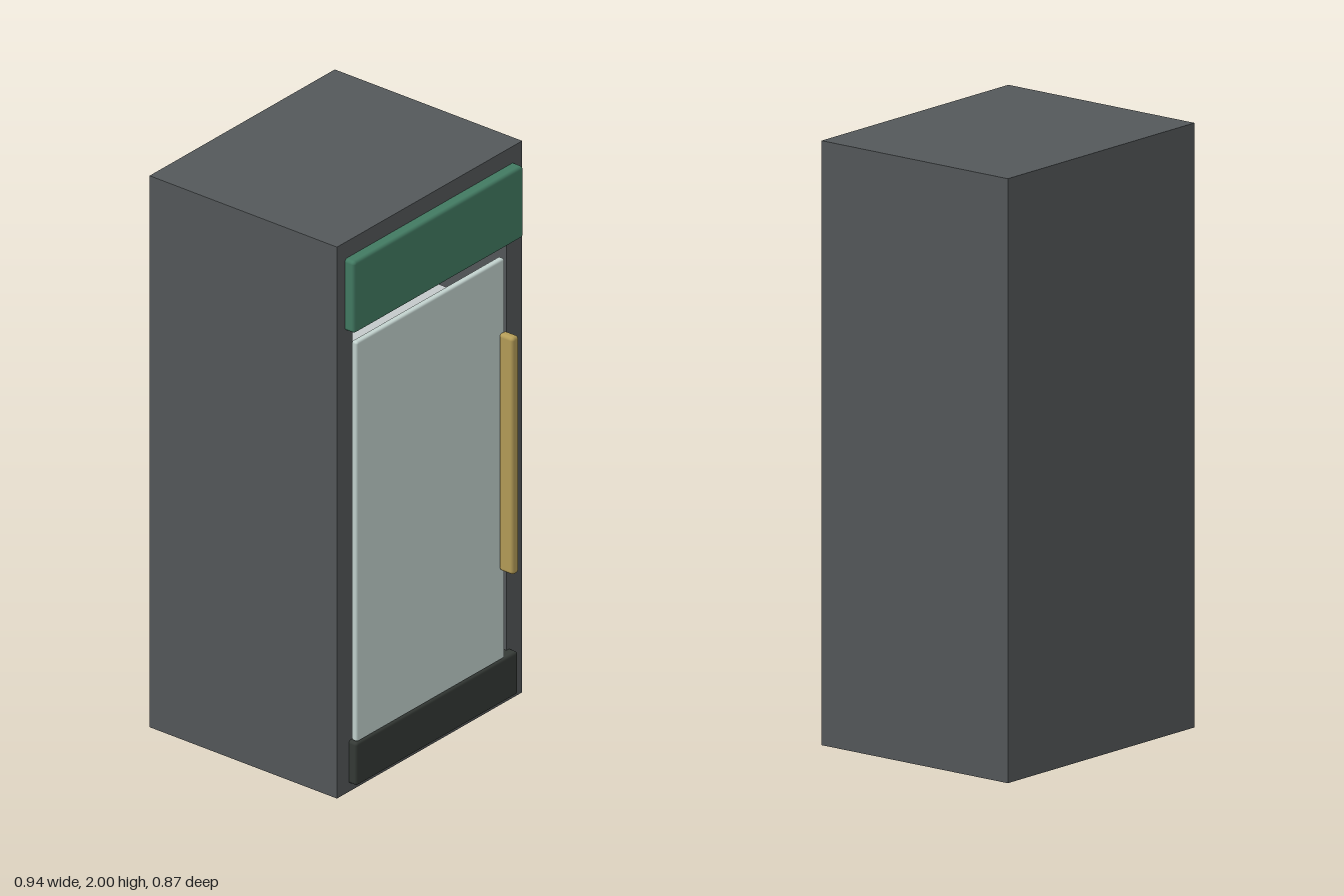
import * as THREE from 'three';
import { RoundedBoxGeometry } from 'three/addons/geometries/RoundedBoxGeometry.js';

const material = (color) => new THREE.MeshStandardMaterial({ color });

// Rounded block given by its limits on each axis
function block(name, [x0, x1], [y0, y1], [z0, z1], radius, mat) {
  const geometry = new RoundedBoxGeometry(x1 - x0, y1 - y0, z1 - z0, 3, radius);
  const mesh = new THREE.Mesh(geometry, mat);
  mesh.position.set((x0 + x1) / 2, (y0 + y1) / 2, (z0 + z1) / 2);
  mesh.name = name;
  return mesh;
}

function rectangle(Type, x0, x1, y0, y1) {
  return new Type([[x0, y0], [x1, y0], [x1, y1], [x0, y1]].map(([x, y]) => new THREE.Vector2(x, y)));
}

export function createModel() {
  const model = new THREE.Group();
  model.name = 'displayFridge';
  const bodyMat = material(0x54585a);
  const shelfMat = material(0xc4c9ca);

  // Hollow cabinet shell, open at the front
  const shellShape = rectangle(THREE.Shape, -0.47, 0.47, 0, 2);
  shellShape.holes.push(rectangle(THREE.Path, -0.39, 0.39, 0.12, 1.9));
  const shell = new THREE.Mesh(
    new THREE.ExtrudeGeometry(shellShape, { depth: 0.715, bevelEnabled: false }), bodyMat);
  shell.position.z = -0.375;
  shell.name = 'cabinetShell';
  model.add(shell);

  // Back wall closing the shell
  const back = new THREE.Mesh(new THREE.BoxGeometry(0.94, 2, 0.06), bodyMat);
  back.position.set(0, 1, -0.405);
  back.name = 'backWall';
  model.add(back);

  // Four evenly spaced shelves
  for (let i = 0; i < 4; i++) {
    const y = 0.352 + i * 0.358;
    model.add(block('shelf', [-0.37, 0.37], [y - 0.009, y + 0.009], [-0.37, 0.29], 0.004, shelfMat));
  }

  // Header panel, kick plate, door and handle on the front
  model.add(block('headerPanel', [-0.43, 0.43], [1.68, 1.94], [0.3, 0.38], 0.012, material(0x427a62)));
  model.add(block('kickPlate', [-0.41, 0.41], [0.03, 0.185], [0.3, 0.373], 0.01, material(0x353a36)));
  model.add(block('door', [-0.41, 0.34], [0.19, 1.64], [0.35, 0.375], 0.008, material(0xc2d2ce)));
  model.add(block('handle', [0.307, 0.34], [0.52, 1.38], [0.374, 0.435], 0.012, material(0xb59d58)));

  return model;
}
